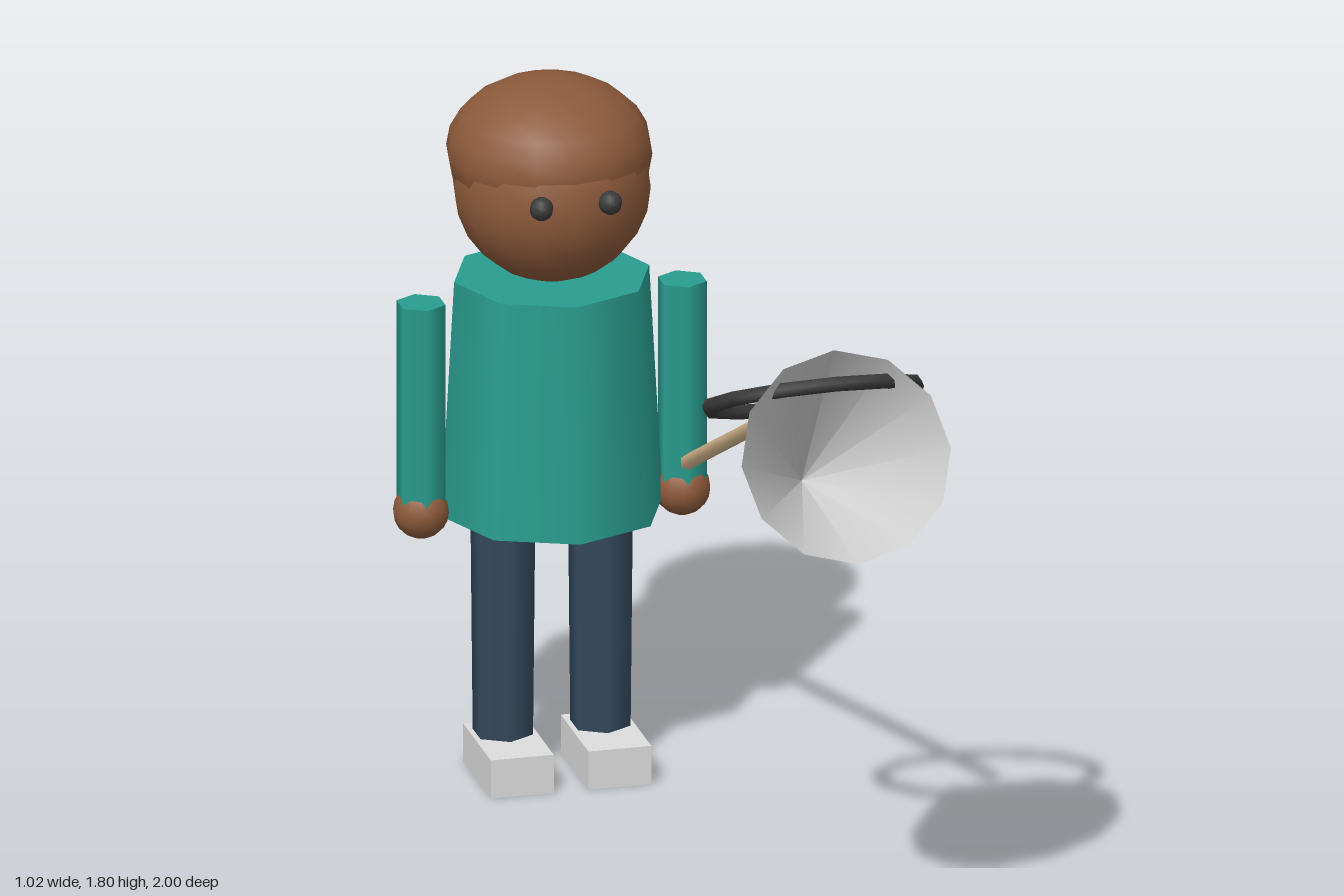
import * as THREE from 'three';

const mat = (name, color, side = THREE.FrontSide) => {
  const m = new THREE.MeshStandardMaterial({ color, side });
  m.name = name;
  return m;
};

export function createModel() {
  const shirt = mat('teal shirt', 0x2a9d8f);
  const skin = mat('brown skin', 0x8d5a3b);
  const trousers = mat('navy trousers', 0x34495e);
  const shoes = mat('light grey shoes', 0xdddddd);
  const netCloth = mat('grey net', 0xd2d2d2, THREE.DoubleSide);
  const dark = mat('charcoal', 0x3a3a3a);
  const wood = mat('tan wood', 0xd2b48c);

  const model = new THREE.Group();
  model.name = 'figureWithNet';

  const add = (parent, name, geometry, material, x, y, z) => {
    const mesh = new THREE.Mesh(geometry, material);
    mesh.name = name;
    mesh.position.set(x, y, z);
    parent.add(mesh);
    return mesh;
  };

  // Person, standing behind and beside the centre
  const person = new THREE.Group();
  person.name = 'person';
  person.position.set(-0.11, 0, -0.72);
  model.add(person);

  add(person, 'torso', new THREE.CylinderGeometry(0.248, 0.282, 0.61, 8), shirt, 0, 0.985, 0);
  add(person, 'head', new THREE.SphereGeometry(0.246, 16, 12), skin, 0, 1.53, 0);
  add(person, 'hair', new THREE.SphereGeometry(0.256, 16, 12), skin, 0, 1.61, -0.023).scale.y = 0.723;

  // Paired parts
  for (const [side, s] of [['left', 1], ['right', -1]]) {
    add(person, side + 'Eye', new THREE.SphereGeometry(0.03, 10, 8), dark, s * 0.0875, 1.553, 0.237);
    add(person, side + 'Arm', new THREE.CylinderGeometry(0.0625, 0.0625, 0.56, 6), shirt, s * 0.332, 0.965, 0);
    add(person, side + 'Hand', new THREE.SphereGeometry(0.07, 14, 10), skin, s * 0.332, 0.7, 0);
    add(person, side + 'Leg', new THREE.CylinderGeometry(0.083, 0.077, 0.6, 6), trousers, s * 0.124, 0.395, 0);
    add(person, side + 'Shoe', new THREE.BoxGeometry(0.16, 0.1, 0.27), shoes, s * 0.124, 0.05, 0.055);
  }

  // Hand net, its handle running along the group's own z axis
  const net = new THREE.Group();
  net.name = 'handNet';
  net.position.set(0.222, 1.06, -0.115);
  net.rotation.x = -Math.atan(0.5);
  model.add(net);

  add(net, 'handle', new THREE.CylinderGeometry(0.02, 0.02, 1.58, 6), wood, 0, 0, 0).rotation.x = Math.PI / 2;
  add(net, 'hoop', new THREE.TorusGeometry(0.262, 0.02, 6, 12), dark, 0, 0, 0.75).rotation.x = Math.PI / 2;
  add(net, 'netBag', new THREE.ConeGeometry(0.266, 0.486, 12, 1, true), netCloth, 0, -0.183, 0.777).rotation.x = -Math.PI / 2;

  return model;
}
